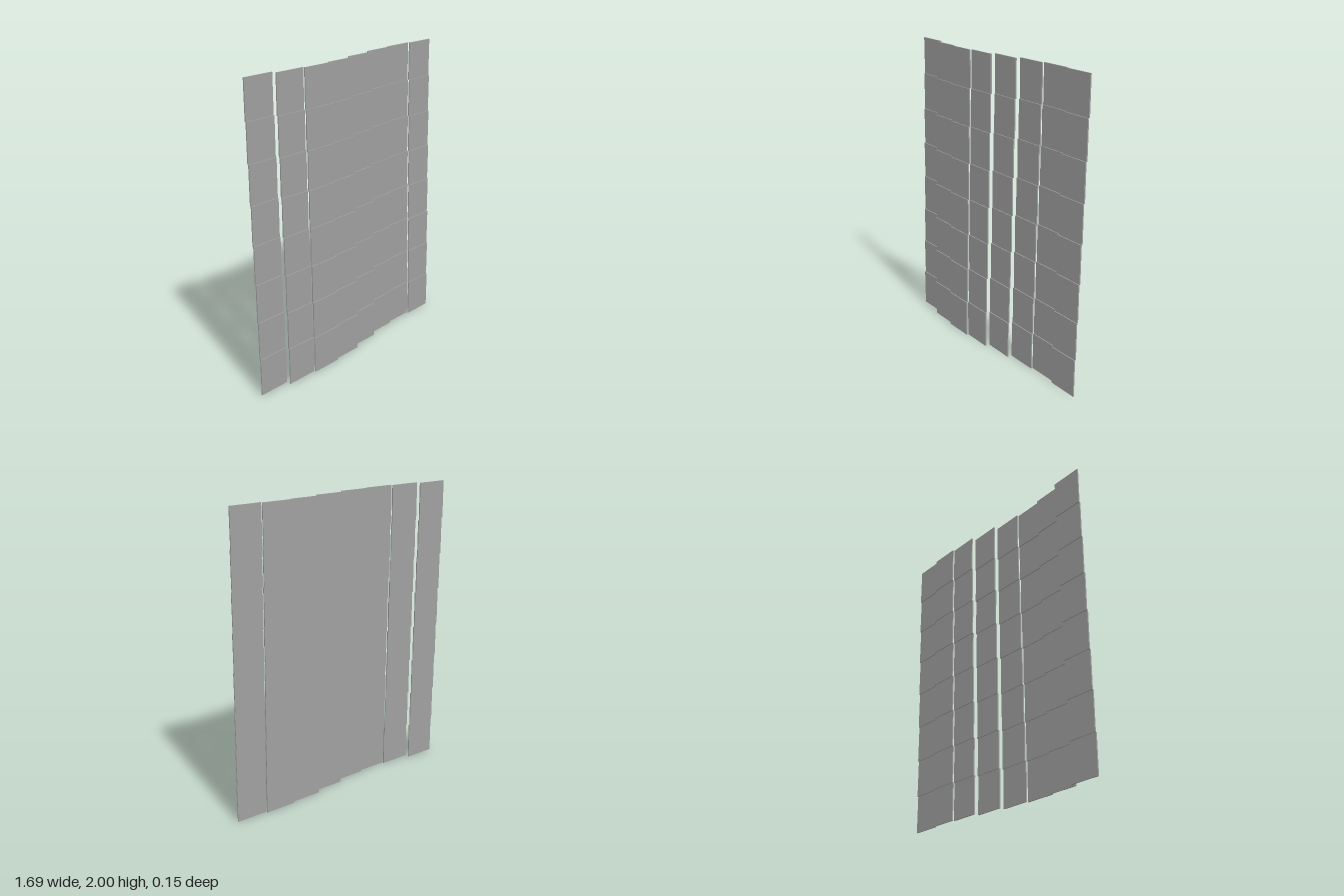
import * as THREE from 'three';

const COLUMNS = 8, ROWS = 8;
const TILE_W = 0.211, TILE_H = 0.25, TILE_D = 0.008;
const WAVE = 0.0475;      // depth of the wave across the columns
const ROW_STEP = 0.0065;  // each row sits this far behind the one below

export function createModel() {
  const model = new THREE.Group();
  model.name = 'wavyTileWall';
  const grey = new THREE.MeshStandardMaterial({ color: 0xa0a0a0 });
  grey.name = 'grey';
  const tileGeometry = new THREE.BoxGeometry(TILE_W, TILE_H, TILE_D);

  for (let c = 0; c < COLUMNS; c++) {
    // Columns follow one full sine wave from right to left
    const column = new THREE.Group();
    column.name = `tileColumn${c + 1}`;
    column.position.set((c - (COLUMNS - 1) / 2) * TILE_W, 0, WAVE * Math.sin((c * 2 * Math.PI) / COLUMNS));

    // Tiles step backwards as they rise
    for (let r = 0; r < ROWS; r++) {
      const tile = new THREE.Mesh(tileGeometry, grey);
      tile.name = `tile${r + 1}`;
      tile.position.set(0, (r + 0.5) * TILE_H, ((ROWS - 1) / 2 - r) * ROW_STEP);
      column.add(tile);
    }
    model.add(column);
  }
  return model;
}
